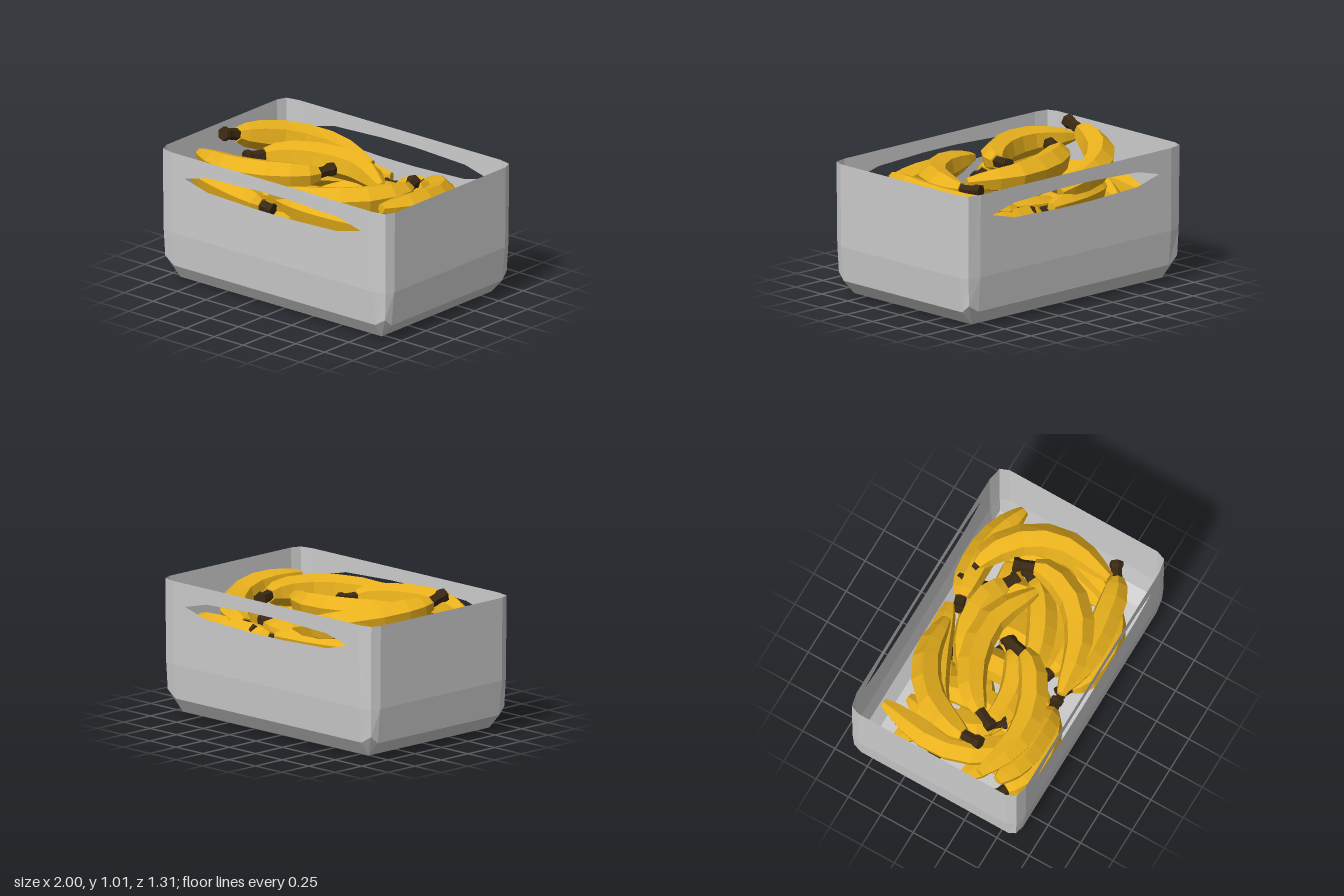
import * as THREE from 'three';

const grey = new THREE.MeshStandardMaterial({ color: 0xcccccc, flatShading: true, side: THREE.DoubleSide });
const yellow = new THREE.MeshStandardMaterial({ color: 0xe8b01c, flatShading: true });
const brown = new THREE.MeshStandardMaterial({ color: 0x3a2912, flatShading: true });

// Joins closed rings of points; skip(layer, segment) leaves a gap.
function skin(rings, skip = () => false) {
  const pos = [];
  const tri = (a, b, c) => {
    const area = b.clone().sub(a).cross(c.clone().sub(a)).length();
    if (area > 1e-7) for (const p of [a, b, c]) pos.push(p.x, p.y, p.z);
  };
  for (let l = 0; l < rings.length - 1; l++) {
    const low = rings[l], high = rings[l + 1], n = low.length;
    for (let i = 0; i < n; i++) {
      if (skip(l, i)) continue;
      const j = (i + 1) % n;
      tri(low[i], low[j], high[j]);
      tri(low[i], high[j], high[i]);
    }
  }
  const g = new THREE.BufferGeometry();
  g.setAttribute('position', new THREE.Float32BufferAttribute(pos, 3));
  g.computeVertexNormals();
  return g;
}

function mesh(geometry, material, name) {
  const m = new THREE.Mesh(geometry, material);
  m.name = name;
  return m;
}

// Mirrors one corner (front, middle, side point) into a ring of twelve.
function cornerRing(corner) {
  const ring = [];
  for (const [sx, sz] of [[1, 1], [1, -1], [-1, -1], [-1, 1]]) {
    const pts = sx * sz > 0 ? corner : [...corner].reverse();
    for (const [x, y, z] of pts) ring.push(new THREE.Vector3(x * sx, y, z * sz));
  }
  return ring;
}

function createCrate() {
  const crate = new THREE.Group();
  crate.name = 'crate';
  const same = p => [p, p, p];
  const rings = [
    same([0, 0, 0]),
    same([0.6, 0.004, 0.37]),
    same([0.88, 0.02, 0.565]),
    [[0.88, 0.12, 0.633], [0.962, 0.17, 0.625], [0.97, 0.12, 0.57]],
    [[0.88, 0.36, 0.652], [0.97, 0.36, 0.632], [0.995, 0.36, 0.57]],
    [[0.88, 0.93, 0.655], [0.975, 0.93, 0.635], [1, 0.93, 0.57]],
  ].map(cornerRing);
  crate.add(mesh(skin(rings, (l, i) => l === 4 && (i === 5 || i === 11)), grey, 'crateShell'));

  // Front and back panels with a tapered hand slot
  const panel = new THREE.Shape([[-0.88, 0.36], [0.88, 0.36], [0.88, 0.93], [-0.88, 0.93]]
    .map(p => new THREE.Vector2(...p)));
  panel.holes.push(new THREE.Path([[-0.77, 0.77], [-0.57, 0.82], [-0.15, 0.838], [0.15, 0.838], [0.57, 0.82],
    [0.77, 0.77], [0.57, 0.718], [0.15, 0.702], [-0.15, 0.702], [-0.57, 0.718]]
    .map(p => new THREE.Vector2(...p))));
  for (const [name, turn] of [['frontPanel', 0], ['backPanel', Math.PI]]) {
    const g = new THREE.ShapeGeometry(panel);
    const p = g.attributes.position;
    for (let i = 0; i < p.count; i++) p.setZ(i, 0.652 + (p.getY(i) - 0.36) * 0.0053);
    const m = mesh(g, grey, name);
    m.rotation.y = turn;
    crate.add(m);
  }
  return crate;
}

// Hexagonal rings along a curve, from [position, radius] pairs
function sweep(curve, profile) {
  const up = new THREE.Vector3(0, 1, 0);
  return skin(profile.map(([t, r]) => {
    const c = curve.getPointAt(t), dir = curve.getTangentAt(t);
    const side = dir.clone().cross(up).normalize();
    const top = side.clone().cross(dir);
    return Array.from({ length: 6 }, (_, i) => {
      const a = i * Math.PI / 3 + 0.3;
      return c.clone().addScaledVector(side, r * Math.cos(a)).addScaledVector(top, -r * Math.sin(a));
    });
  }));
}

const bodyProfile = [[0.12, 0], [0.12, 0.052], [0.18, 0.08], [0.28, 0.1], [0.42, 0.107], [0.56, 0.107],
  [0.7, 0.1], [0.82, 0.086], [0.92, 0.063], [0.98, 0.042], [1, 0.034], [1, 0]];
const stemProfile = [[0, 0], [0, 0.048], [0.025, 0.05], [0.05, 0.038], [0.14, 0.042], [0.14, 0]];

// Row: stem height, tip height, then x, z along the curve from stem to tip
function createBanana([y0, y1, ...xz]) {
  const pts = [], n = xz.length / 2;
  for (let i = 0; i < n; i++) {
    const y = THREE.MathUtils.lerp(y0, y1, i / (n - 1));
    pts.push(new THREE.Vector3(xz[2 * i], y, xz[2 * i + 1]));
  }
  const curve = new THREE.CatmullRomCurve3(pts);
  const banana = new THREE.Group();
  banana.name = 'banana';
  banana.add(mesh(sweep(curve, bodyProfile), yellow, 'bananaBody'),
    mesh(sweep(curve, stemProfile), brown, 'bananaStem'));
  return banana;
}

const topBananas = [
  [0.97, 0.73, -0.78, 0.245, -0.76, 0.04, -0.62, -0.24, -0.36, -0.41, -0.06, -0.44],
  [0.84, 0.8, -0.605, 0.23, -0.5, 0.04, -0.28, -0.11, 0.06, -0.16, 0.39, -0.01],
  [0.84, 0.82, -0.015, 0.01, -0.06, 0.19, -0.28, 0.36, -0.58, 0.42, -0.92, 0.32],
  [0.66, 0.83, 0.25, -0.5, 0.51, -0.43, 0.71, -0.24, 0.78, 0.02, 0.71, 0.37],
  [0.8, 0.78, 0.48, -0.24, 0.55, -0.02, 0.45, 0.25, 0.2, 0.43, -0.15, 0.5],
  [0.7, 0.74, 0.87, 0.33, 0.68, 0.43, 0.45, 0.48, 0.2, 0.51, -0.08, 0.5],
  [0.64, 0.77, -0.15, 0.47, -0.32, 0.49, -0.5, 0.5, -0.7, 0.49, -0.89, 0.44],
];
const middleBananas = [
  [0.6, 0.66, -0.7, 0.05, -0.6, -0.2, -0.3, -0.38, 0.07, -0.49],
  [0.6, 0.62, -0.35, 0.44, -0.65, 0.3, -0.8, -0.05, -0.75, -0.52],
  [0.62, 0.62, 0.06, -0.43, 0.3, -0.48, 0.6, -0.48, 0.9, -0.4],
  [0.65, 0.55, 0.47, -0.2, 0.25, -0.3, 0, -0.3, -0.3, -0.16],
  [0.64, 0.58, -0.46, 0.26, -0.6, 0.06, -0.66, -0.2, -0.62, -0.4],
  [0.66, 0.6, 0.05, -0.04, -0.08, 0.12, -0.3, 0.2, -0.6, 0.16],
  [0.62, 0.62, 0.55, -0.18, 0.45, -0.02, 0.2, 0.14, -0.12, 0.24],
  [0.56, 0.6, 0.74, -0.44, 0.8, -0.2, 0.79, 0.12, 0.66, 0.4],
  [0.6, 0.55, -0.1, 0.3, 0.15, 0.34, 0.45, 0.24, 0.72, 0.0],
];

export function createModel() {
  const model = new THREE.Group();
  model.name = 'crateOfBananas';
  model.add(createCrate());

  const pile = new THREE.Group();
  pile.name = 'bananas';
  for (const row of [...topBananas, ...middleBananas]) pile.add(createBanana(row));
  // Lower layers, alternately lengthwise and crosswise
  for (let k = 0; k < 4; k++) {
    const z = -0.42 + k * 0.26, s = k % 2 ? 1 : -1;
    for (const x of [-0.42, 0.42]) {
      pile.add(createBanana([0.13, 0.13, x - s * 0.38, z, x - s * 0.15, z + 0.1, x + s * 0.15, z + 0.1, x + s * 0.38, z]));
    }
  }
  for (let k = 0; k < 6; k++) {
    const x = -0.72 + k * 0.27, s = k % 2 ? 1 : -1;
    pile.add(createBanana([0.38, 0.42, x, s * 0.44, x + 0.1, s * 0.15, x + 0.1, -s * 0.15, x, -s * 0.44]));
  }
  model.add(pile);
  return model;
}
